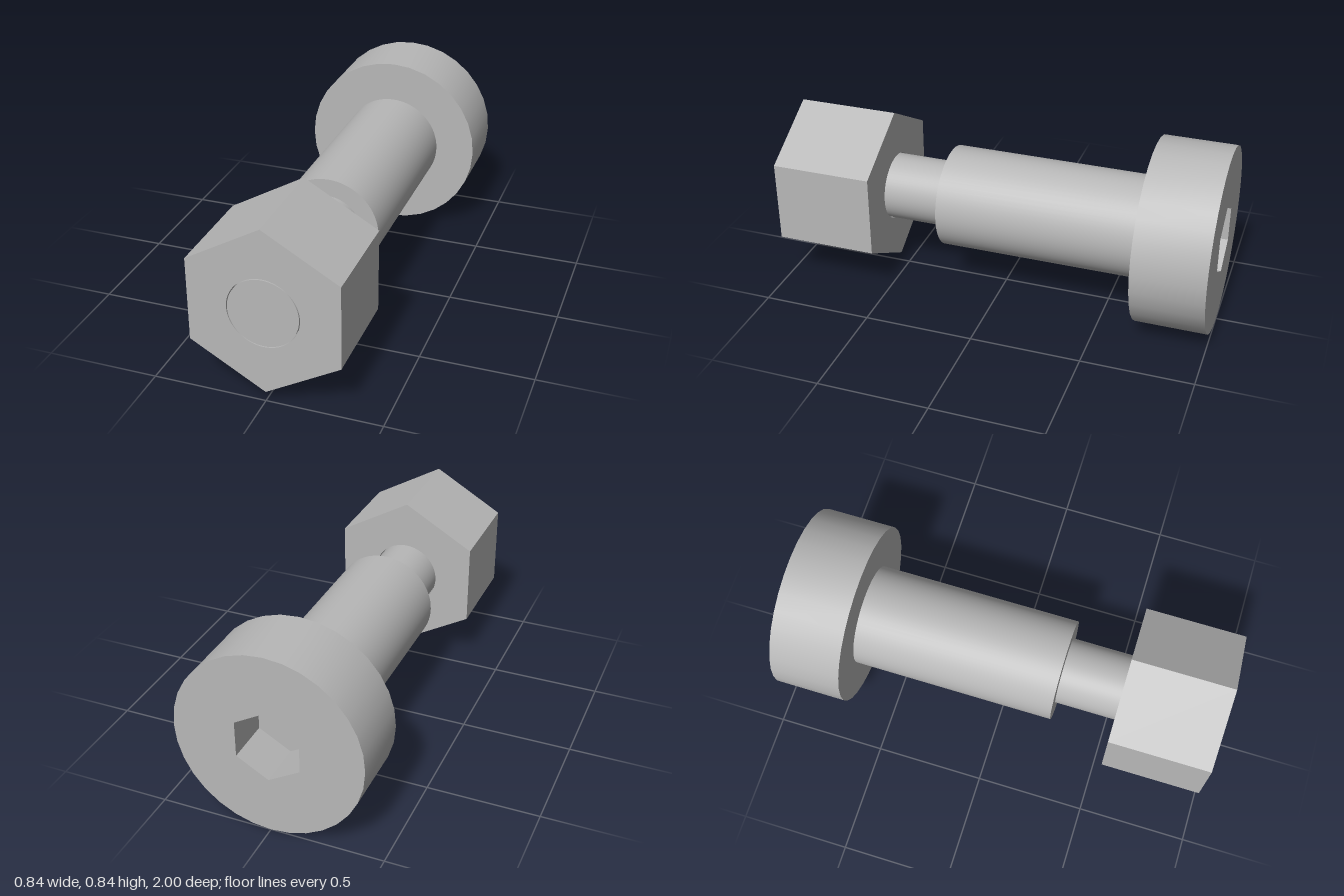
import * as THREE from 'three';
import { toCreasedNormals } from 'three/addons/utils/BufferGeometryUtils.js';

const AXIS_Y = 0.418; // height of the bolt's axis

// Regular polygon with a corner at the top
function polygon(radius, sides) {
  return Array.from({ length: sides }, (_, i) => {
    const a = Math.PI / 2 + (i / sides) * Math.PI * 2;
    return new THREE.Vector2(Math.cos(a) * radius, Math.sin(a) * radius);
  });
}

export function createModel() {
  const model = new THREE.Group();
  model.name = 'shoulderBoltWithNut';
  const steel = new THREE.MeshStandardMaterial({ color: 0xb8b8b8 });
  steel.name = 'steelGrey';

  // Prism along z from z0 to z1, with an optional through hole
  function addPrism(name, radius, sides, z0, z1, holeRadius, holeSides) {
    const shape = new THREE.Shape(polygon(radius, sides));
    if (holeRadius) shape.holes.push(new THREE.Path(polygon(holeRadius, holeSides)));
    const solid = new THREE.ExtrudeGeometry(shape, { depth: z1 - z0, bevelEnabled: false });
    const mesh = new THREE.Mesh(toCreasedNormals(solid, 0.5), steel);
    mesh.name = name;
    mesh.position.set(0, AXIS_Y, z0);
    model.add(mesh);
  }

  // Head with a hexagonal socket, closed by a floor inside it
  addPrism('head', 0.418, 32, -1, -0.675, 0.162, 6);
  addPrism('socketFloor', 0.162, 6, -0.795, -0.675);

  // Stepped shaft
  addPrism('shoulder', 0.232, 64, -0.675, 0.26);
  addPrism('shank', 0.152, 64, 0.26, 1);

  // Hexagonal nut with a slight clearance around the shank
  addPrism('nut', 0.375, 6, 0.54, 1, 0.156, 64);

  return model;
}
